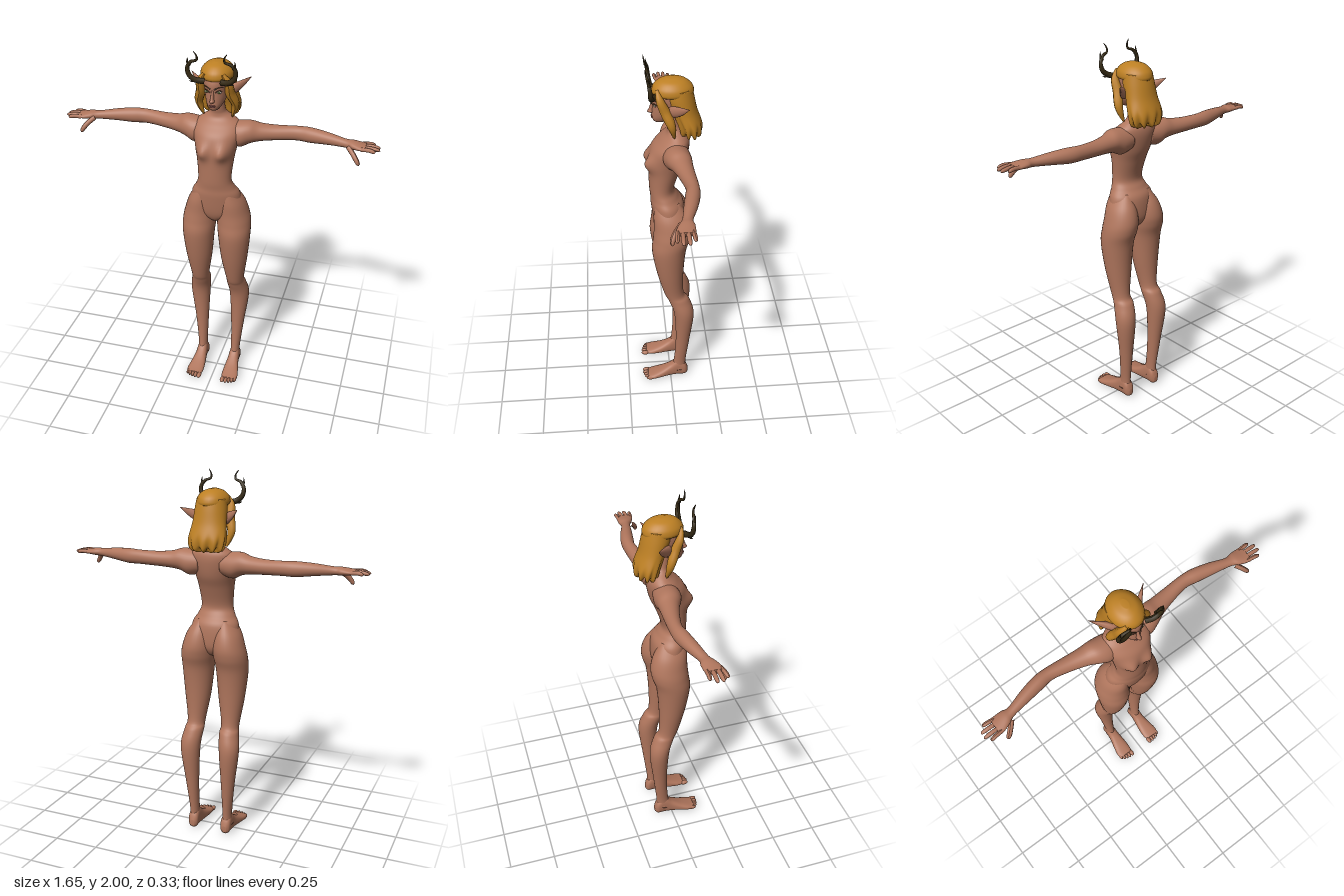
import * as THREE from 'three';

const mat = (name, color) => Object.assign(new THREE.MeshStandardMaterial({ color }), { name });
const skin = mat('skin', 0xb0765d);
const hairGold = mat('golden hair', 0xbd8024);
const hornBrown = mat('dark horn', 0x352a14);
const lipRed = mat('lip', 0x8f5048);
const browBrown = mat('brow', 0x4a3018);
const eyeWhite = mat('eye white', 0xd8cfc0);
const irisGreen = mat('iris', 0x4c5a2c);

// Smooth skin over rows [t, aMin, aMax, bMin, bMax] along axis 0=x, 1=y, 2=z; a and b are the next two axes.
function loft(axis, rows, { sides = 32, steps = 6, power = 1, warp } = {}) {
  const rings = [];
  const spline = (p, q, r, s, t) =>
    0.5 * (2 * q + (r - p) * t + (2 * p - 5 * q + 4 * r - s) * t * t + (3 * q - p - 3 * r + s) * t * t * t);
  const at = i => rows[Math.min(rows.length - 1, Math.max(0, i))];
  const total = (rows.length - 1) * steps;
  for (let k = 0; k <= total; k++) {
    const i = Math.min(rows.length - 2, Math.floor(k / steps)), t = k / steps - i;
    rings.push(at(i).map((_, c) => spline(at(i - 1)[c], at(i)[c], at(i + 1)[c], at(i + 2)[c], t)));
  }
  // Collapsed rings close both ends
  const shut = ([t, a0, a1, b0, b1]) => [t, (a0 + a1) / 2, (a0 + a1) / 2, (b0 + b1) / 2, (b0 + b1) / 2];
  rings.unshift(shut(rings[0]));
  rings.push(shut(rings[rings.length - 1]));
  const pos = [], index = [];
  const round = v => Math.sign(v) * Math.abs(v) ** power;
  rings.forEach(([t, a0, a1, b0, b1], i) => {
    for (let j = 0; j < sides; j++) {
      const ang = j / sides * Math.PI * 2, p = [0, 0, 0];
      p[axis] = t;
      p[(axis + 1) % 3] = (a0 + a1) / 2 + (a1 - a0) / 2 * round(Math.cos(ang));
      p[(axis + 2) % 3] = (b0 + b1) / 2 + (b1 - b0) / 2 * round(Math.sin(ang));
      if (warp) warp(p, ang);
      pos.push(...p);
      if (i) {
        const n = (j + 1) % sides, lo = (i - 1) * sides, hi = i * sides;
        index.push(lo + j, lo + n, hi + n, lo + j, hi + n, hi + j);
      }
    }
  });
  const g = new THREE.BufferGeometry();
  g.setAttribute('position', new THREE.Float32BufferAttribute(pos, 3));
  g.setIndex(index);
  g.computeVertexNormals();
  return g;
}

// Symmetric rows [y, zBack, zFront, halfWidth]
const even = rows => rows.map(([y, b, f, w]) => [y, b, f, -w, w]);

// Tube whose radius follows a function of its length
function taper(points, radius, sides = 10, n = 20) {
  const curve = new THREE.CatmullRomCurve3(points.map(p => new THREE.Vector3(...p)));
  const g = new THREE.TubeGeometry(curve, n, 1, sides), p = g.attributes.position, v = new THREE.Vector3();
  for (let i = 0; i < p.count; i++) {
    const t = Math.floor(i / (sides + 1)) / n, c = curve.getPointAt(t);
    v.fromBufferAttribute(p, i).sub(c).multiplyScalar(radius(t)).add(c);
    p.setXYZ(i, v.x, v.y, v.z);
  }
  g.computeVertexNormals();
  return g;
}
const rounded = r => t => r * Math.sqrt(Math.max(0, 1 - t ** 8));

const blob = (x, y, z, rx, ry, rz) => new THREE.SphereGeometry(1, 16, 12).scale(rx, ry, rz).translate(x, y, z);

function mirrored(g) {
  const m = g.clone().scale(-1, 1, 1), idx = m.index.array;
  for (let i = 0; i < idx.length; i += 3) [idx[i], idx[i + 1]] = [idx[i + 1], idx[i]];
  m.computeVertexNormals();
  return m;
}

export function createModel() {
  const model = new THREE.Group();
  model.name = 'hornedFigure';
  const add = (name, geo, material) => {
    const m = new THREE.Mesh(geo, material);
    m.name = name;
    model.add(m);
  };
  const pair = (name, geo, material) => {
    add(name + 'Left', geo, material);
    add(name + 'Right', mirrored(geo), material);
  };

  // Torso and neck
  add('torso', loft(1, even([
    [1.03, -0.03, 0.03, 0.01], [1.05, -0.06, 0.06, 0.05], [1.1, -0.08, 0.083, 0.13], [1.2, -0.075, 0.098, 0.13],
    [1.25, -0.045, 0.1, 0.104], [1.3, -0.025, 0.105, 0.088], [1.4, -0.055, 0.108, 0.096], [1.47, -0.085, 0.108, 0.108],
    [1.54, -0.1, 0.09, 0.125], [1.585, -0.1, 0.05, 0.12], [1.615, -0.088, 0.018, 0.085], [1.64, -0.07, 0.01, 0.05],
    [1.67, -0.055, 0.015, 0.038], [1.75, -0.04, 0.03, 0.036],
  ]), {
    sides: 48,
    warp: p => {
      if (p[2] > 0.02) p[2] += 0.032 * Math.exp(-(((Math.abs(p[0]) - 0.054) / 0.034) ** 2) - ((p[1] - 1.465) / 0.042) ** 2);
    },
  }), skin);

  // Arms and hands
  pair('arm', loft(0, [
    [0.06, 1.48, 1.595, -0.09, 0.03], [0.12, 1.465, 1.603, -0.1, 0.04], [0.17, 1.487, 1.604, -0.1, 0.025],
    [0.22, 1.498, 1.59, -0.1, 0], [0.3, 1.505, 1.583, -0.105, -0.025], [0.4, 1.51, 1.585, -0.11, -0.045],
    [0.47, 1.509, 1.587, -0.107, -0.035], [0.56, 1.518, 1.58, -0.085, -0.02], [0.65, 1.525, 1.568, -0.055, -0.005],
    [0.69, 1.526, 1.567, -0.06, 0.015], [0.73, 1.53, 1.56, -0.06, 0.03], [0.755, 1.534, 1.556, -0.057, 0.03],
  ]), skin);
  [[-0.048, 0.8, -0.053], [-0.024, 0.825, -0.026], [0, 0.826, 0.002], [0.021, 0.805, 0.03]].forEach(([z, x, zEnd], i) =>
    pair('finger' + (i + 1), taper([[0.735, 1.545, z], [0.775, 1.547, (z + zEnd) / 2], [x, 1.54, zEnd]], rounded(0.0105)), skin));
  pair('thumb', taper([[0.67, 1.54, 0], [0.7, 1.515, 0.028], [0.72, 1.49, 0.042], [0.733, 1.468, 0.045]], rounded(0.013)), skin);

  // Legs
  pair('leg', loft(1, [
    [0.05, -0.09, 0, 0.07, 0.13], [0.12, -0.09, -0.02, 0.074, 0.126], [0.3, -0.11, -0.03, 0.07, 0.145],
    [0.5, -0.13, -0.02, 0.06, 0.17], [0.6, -0.103, 0.012, 0.05, 0.157], [0.65, -0.072, 0.035, 0.051, 0.151],
    [0.8, -0.07, 0.075, 0.027, 0.172], [0.95, -0.082, 0.1, 0.012, 0.187], [1.03, -0.105, 0.093, 0.003, 0.186],
    [1.09, -0.11, 0.088, 0.001, 0.173], [1.16, -0.09, 0.088, 0.008, 0.148], [1.23, -0.045, 0.08, 0.03, 0.1],
  ]), skin);

  // Feet and toes
  pair('foot', loft(2, [
    [-0.102, 0.085, 0.11, 0.015, 0.05], [-0.085, 0.07, 0.126, 0.002, 0.09], [-0.045, 0.07, 0.128, 0, 0.12],
    [0, 0.066, 0.132, 0, 0.085], [0.05, 0.06, 0.143, 0, 0.056], [0.1, 0.058, 0.152, 0, 0.037], [0.135, 0.064, 0.148, 0.003, 0.027],
  ], { power: 0.8 }), skin);
  [[0.071, 0.142, 0.013], [0.092, 0.142, 0.01], [0.11, 0.138, 0.009], [0.127, 0.132, 0.009], [0.142, 0.122, 0.009]]
    .forEach(([x, z, r], i) => pair('toe' + (i + 1), blob(x, 0.014, z, r, 0.013, 0.024), skin));

  // Head, nose and pointed ears
  add('head', loft(1, even([
    [1.683, 0.03, 0.06, 0.01], [1.69, 0.01, 0.077, 0.024], [1.71, -0.03, 0.086, 0.039], [1.74, -0.08, 0.086, 0.053],
    [1.78, -0.1, 0.084, 0.06], [1.83, -0.11, 0.085, 0.064], [1.88, -0.09, 0.06, 0.056], [1.91, -0.03, 0.02, 0.01],
  ])), skin);
  add('nose', loft(1, even([
    [1.732, 0.075, 0.088, 0.006], [1.74, 0.07, 0.108, 0.012], [1.755, 0.07, 0.101, 0.009], [1.795, 0.07, 0.088, 0.006],
  ]), { sides: 16 }), skin);
  pair('ear', loft(0, [
    [0.05, 1.74, 1.79, -0.02, 0.012], [0.08, 1.742, 1.803, -0.045, 0.004],
    [0.12, 1.775, 1.815, -0.066, -0.04], [0.156, 1.821, 1.823, -0.085, -0.083],
  ], { sides: 16 }), skin);

  // Face details
  add('upperLip', blob(0, 1.717, 0.085, 0.016, 0.004, 0.006), lipRed);
  add('lowerLip', blob(0, 1.71, 0.084, 0.014, 0.005, 0.006), lipRed);
  pair('eye', blob(0.028, 1.785, 0.074, 0.013, 0.006, 0.004).rotateY(0.05), eyeWhite);
  pair('iris', blob(0.028, 1.785, 0.0775, 0.0055, 0.0058, 0.002).rotateY(0.05), irisGreen);
  pair('eyelid', taper([[0.013, 1.784, 0.082], [0.027, 1.793, 0.078], [0.046, 1.79, 0.062]], rounded(0.0025), 6), browBrown);
  pair('brow', taper([[0.01, 1.802, 0.084], [0.03, 1.81, 0.076], [0.049, 1.81, 0.06]], t => 0.004 * (1 - 0.8 * t), 6), browBrown);

  // Hair: crown, wavy back and side locks
  add('hairCrown', loft(1, even([
    [1.84, -0.118, 0.082, 0.08], [1.855, -0.12, 0.086, 0.084], [1.88, -0.11, 0.078, 0.077],
    [1.905, -0.08, 0.05, 0.052], [1.918, -0.04, 0.01, 0.015],
  ])), hairGold);
  add('hairBack', loft(1, even([
    [1.62, -0.145, -0.065, 0.07], [1.635, -0.158, -0.05, 0.09], [1.68, -0.16, -0.035, 0.1],
    [1.75, -0.137, -0.005, 0.09], [1.82, -0.122, 0.025, 0.085], [1.87, -0.11, 0.03, 0.078],
  ]), {
    sides: 64,
    warp: (p, ang) => {
      const low = Math.max(0, Math.min(1, (1.76 - p[1]) / 0.12)), wave = Math.cos(ang * 10);
      p[0] *= 1 + 0.05 * low * wave;
      p[2] += (p[2] + 0.09) * 0.08 * low * wave;
      p[1] -= 0.012 * low * wave;
    },
  }), hairGold);
  pair('sideLock', taper([[0.045, 1.875, 0.062], [0.071, 1.83, 0.05], [0.075, 1.77, 0.025], [0.094, 1.7, -0.005], [0.075, 1.625, -0.02]],
    t => 0.004 + 0.021 * Math.sin(Math.PI * Math.min(1, t * 0.95 + 0.05)) ** 0.8, 10, 28), hairGold);

  // Branching horns
  pair('horn', taper([[0.045, 1.838, 0.075], [0.08, 1.845, 0.09], [0.112, 1.87, 0.096], [0.12, 1.91, 0.1],
    [0.1, 1.942, 0.106], [0.07, 1.955, 0.112], [0.068, 1.975, 0.116], [0.083, 2, 0.121]],
  t => 0.015 * (1 - t) ** 0.7 + 0.001, 8, 40), hornBrown);
  pair('hornProng', taper([[0.11, 1.92, 0.102], [0.118, 1.94, 0.105], [0.115, 1.965, 0.108]], t => 0.009 * (1 - t) + 0.0005, 8), hornBrown);
  pair('hornSpur', taper([[0.08, 1.845, 0.09], [0.1, 1.838, 0.093], [0.113, 1.843, 0.098]], t => 0.01 * (1 - t) + 0.0005, 8), hornBrown);

  return model;
}
